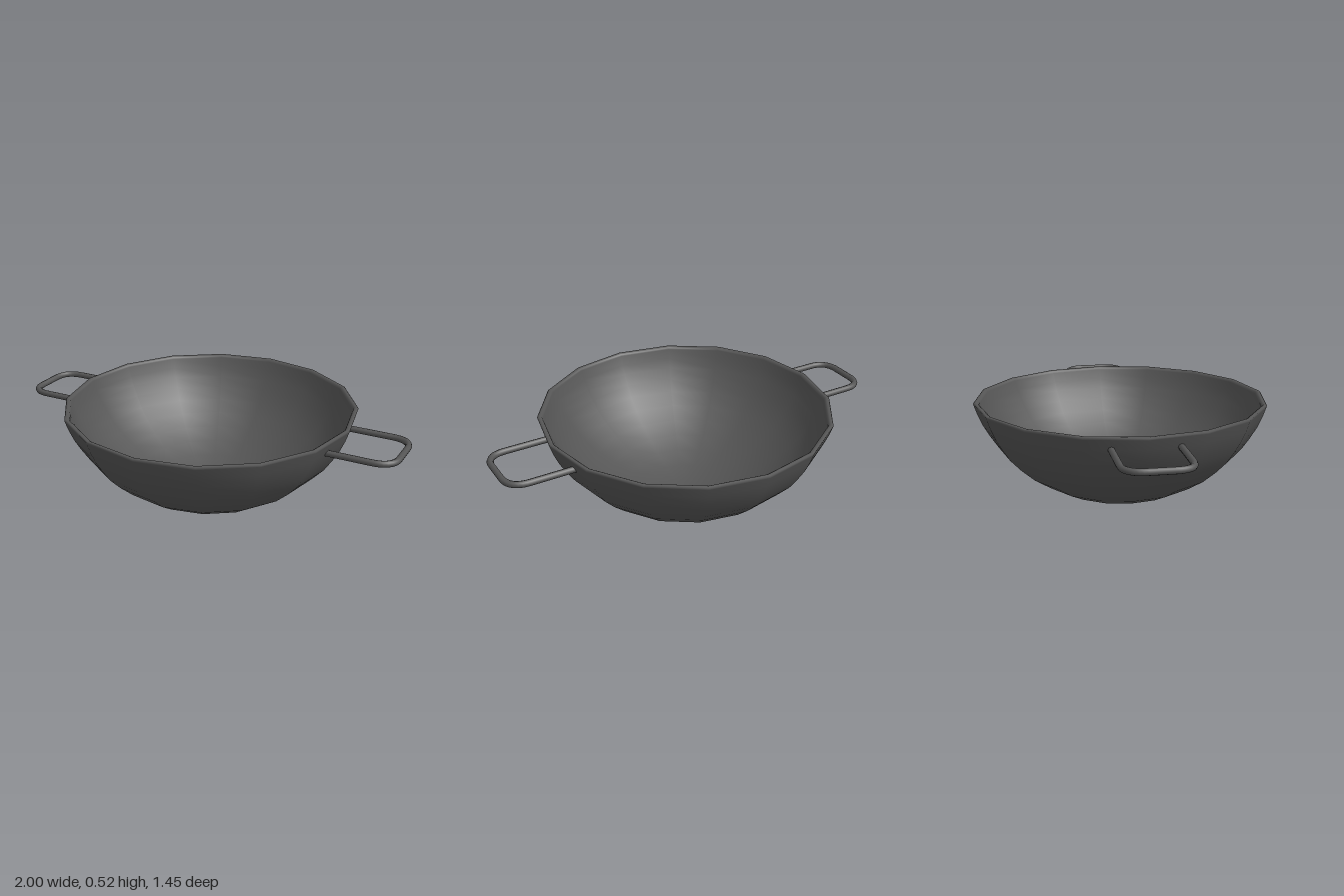
import * as THREE from 'three';

export function createModel() {
  const model = new THREE.Group();
  const iron = new THREE.MeshStandardMaterial({ color: 0x555555 });
  iron.name = 'dark iron';

  const add = (name, geometry) => {
    const mesh = new THREE.Mesh(geometry, iron);
    mesh.name = name;
    model.add(mesh);
    return mesh;
  };
  const lathe = (points) =>
    new THREE.LatheGeometry(points.map(([r, y]) => new THREE.Vector2(r, y)), 16);

  // Outer shell, from the bottom centre up to the rim
  add('bowlOutside', lathe([
    [0, 0], [0.1, 0.008], [0.21, 0.033], [0.31, 0.07], [0.4, 0.115],
    [0.485, 0.17], [0.555, 0.232], [0.61, 0.29], [0.65, 0.35], [0.682, 0.405],
    [0.706, 0.46], [0.723, 0.51],
  ]));

  // Narrow rounded lip
  add('rim', lathe([
    [0.723, 0.51], [0.725, 0.518], [0.72, 0.523], [0.71, 0.523], [0.702, 0.518], [0.699, 0.51],
  ]));

  // Inner shell, from the rim down to the bottom centre
  add('bowlInside', lathe([
    [0.699, 0.51], [0.683, 0.463], [0.66, 0.412], [0.628, 0.36], [0.59, 0.302],
    [0.535, 0.245], [0.468, 0.187], [0.387, 0.134], [0.3, 0.089], [0.203, 0.053],
    [0.097, 0.028], [0, 0.02],
  ]));

  // Bent rod handles: two straight prongs joined by rounded corners
  const v = (x, z) => new THREE.Vector3(x, 0.46, z);
  const [start, bend, end, half, inner] = [0.665, 0.885, 0.984, 0.154, 0.07];
  for (const [name, side] of [['leftHandle', 1], ['rightHandle', -1]]) {
    const path = new THREE.CurvePath();
    path.add(new THREE.LineCurve3(v(side * start, half), v(side * bend, half)));
    path.add(new THREE.QuadraticBezierCurve3(v(side * bend, half), v(side * (end - 0.008), half), v(side * end, inner)));
    path.add(new THREE.LineCurve3(v(side * end, inner), v(side * end, -inner)));
    path.add(new THREE.QuadraticBezierCurve3(v(side * end, -inner), v(side * (end - 0.008), -half), v(side * bend, -half)));
    path.add(new THREE.LineCurve3(v(side * bend, -half), v(side * start, -half)));
    add(name, new THREE.TubeGeometry(path, 48, 0.016, 8, false));
  }
  return model;
}
